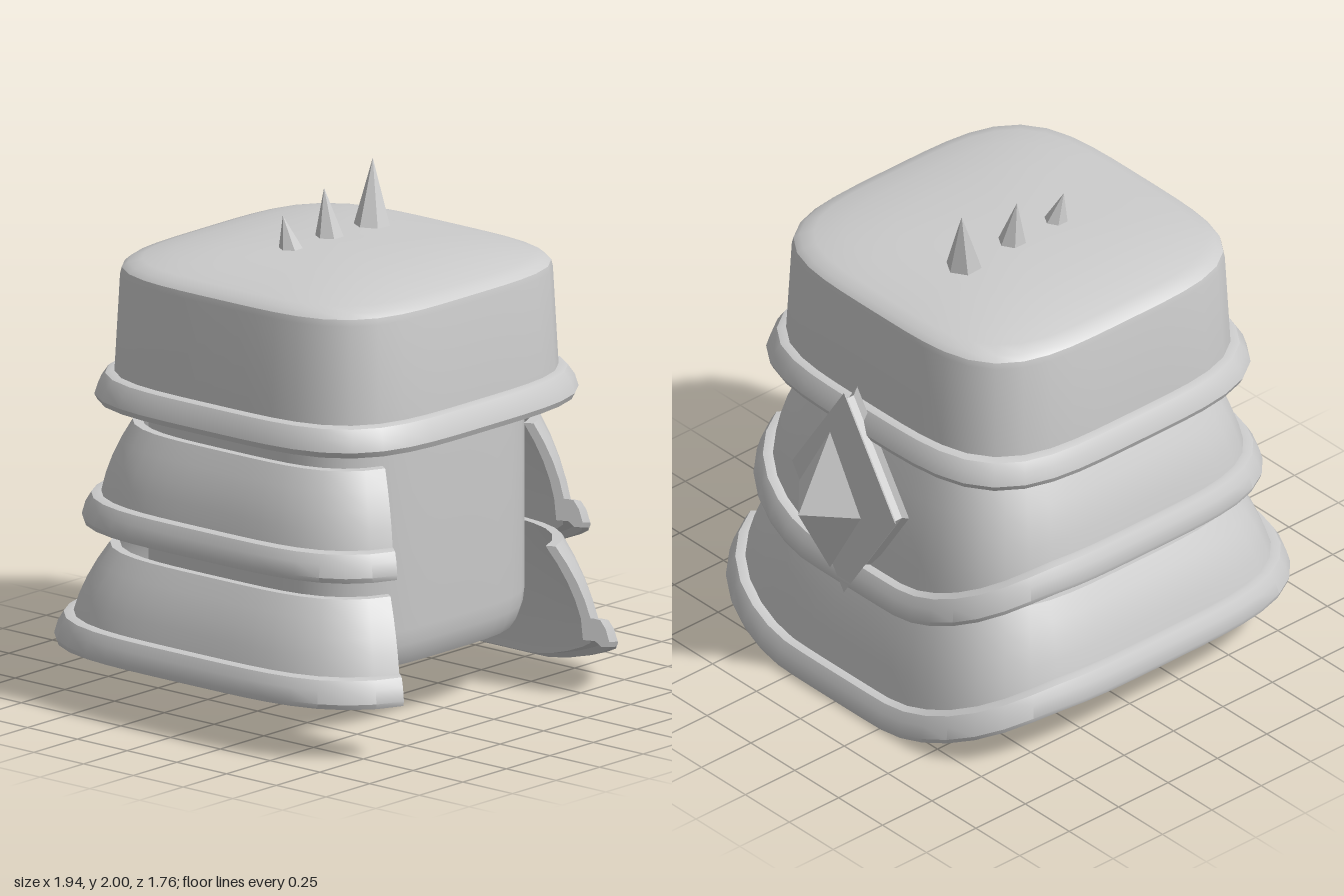
import * as THREE from 'three';
import { toCreasedNormals } from 'three/addons/utils/BufferGeometryUtils.js';

// Double sided because the cap is a thin open shell
const metal = new THREE.MeshStandardMaterial({ color: 0xcccccc, side: THREE.DoubleSide });
metal.name = 'lightGrey';

function mesh(name, geometry, crease = 0.6) {
  const m = new THREE.Mesh(toCreasedNormals(geometry, crease), metal);
  m.name = name;
  return m;
}

function fromTriangles(points, index) {
  const g = new THREE.BufferGeometry();
  g.setAttribute('position', new THREE.Float32BufferAttribute(points, 3));
  g.setIndex(index);
  return g;
}

// Sweeps a [halfWidth, y] profile (outer side upward) round a rounded square.
// A closed profile joins its last point to its first; capEnds fills an open sweep's ends.
function squareSweep(profile, { start = 0, end = Math.PI * 2, closed = false, capEnds = false, drop = () => 0 } = {}) {
  const pts = [], idx = [], n = profile.length, steps = 48;
  for (let j = 0; j <= steps; j++) {
    const a = start + (end - start) * j / steps;
    const c = Math.cos(a), s = Math.sin(a);
    const k = 1 / Math.pow(c ** 4 + s ** 4, 0.25);
    for (const [r, y] of profile) pts.push(r * k * c, y - drop(a, y), r * k * s);
  }
  const rows = closed ? n : n - 1;
  for (let j = 0; j < steps; j++) {
    for (let i = 0; i < rows; i++) {
      const a = j * n + i, b = j * n + (i + 1) % n;
      idx.push(a, b, b + n, a, b + n, a + n);
    }
  }
  if (capEnds) {
    const outline = profile.map(([r, y]) => new THREE.Vector2(r, y));
    const last = steps * n;
    for (const [a, b, c] of THREE.ShapeUtils.triangulateShape(outline, [])) {
      idx.push(a, c, b, last + a, last + b, last + c);
    }
  }
  return fromTriangles(pts, idx);
}

// Thin curved armour skirt with a rolled hem, open at the front; the hem hangs lower on the +x side
function skirt(name, top, hem, topHalf, hemHalf) {
  const rimTop = hem + 0.11, h = top - rimTop, thick = 0.032;
  const curve = [0, 0.25, 0.5, 0.75, 1].map((t) => [
    topHalf + (hemHalf - topHalf) * t + 0.055 * t * (1 - t), top - h * t,
  ]);
  const profile = [
    // Rolled hem
    [hemHalf + 0.035, hem], [hemHalf + 0.056, hem], [hemHalf + 0.062, hem + 0.02],
    [hemHalf + 0.05, hem + 0.07], [hemHalf + 0.032, rimTop - 0.005], [hemHalf + 0.012, rimTop],
    // Outer face up, inner face down
    ...[...curve].reverse(),
    ...curve.map(([r, y]) => [r - thick, y]),
    [hemHalf - 0.025, hem + 0.025], [hemHalf + 0.015, hem + 0.022],
  ];
  const drop = (angle, y) => {
    const off = Math.abs(Math.atan2(Math.sin(angle), Math.cos(angle))) * 180 / Math.PI;
    const side = 1 - THREE.MathUtils.smoothstep(off, 17, 62);
    return 0.21 * side * Math.min(1, (top - y) / h);
  };
  const gap = 34.6 * Math.PI / 180;
  return mesh(name, squareSweep(profile, {
    start: Math.PI / 2 + gap, end: Math.PI * 2.5 - gap, closed: true, capEnds: true, drop,
  }));
}

// Stack of diamond outlines along x, closed at both ends
function diamondStack(sections, halfY, halfZ) {
  const pts = [], idx = [];
  for (const [x, s] of sections) {
    pts.push(x, halfY * s, 0, x, 0, halfZ * s, x, -halfY * s, 0, x, 0, -halfZ * s);
  }
  const last = (sections.length - 1) * 4;
  for (let j = 0; j < last; j += 4) {
    for (let i = 0; i < 4; i++) {
      const a = j + i, b = j + (i + 1) % 4;
      idx.push(a, b, b + 4, a, b + 4, a + 4);
    }
  }
  idx.push(0, 2, 1, 0, 3, 2, last, last + 1, last + 2, last, last + 2, last + 3);
  return fromTriangles(pts, idx);
}

export function createModel() {
  const model = new THREE.Group();
  model.name = 'armouredTower';

  const core = new THREE.Group();
  core.name = 'core';
  core.position.set(-0.07, 0, 0.02);
  model.add(core);

  // Hollow body column, open below, with a rounded foot
  core.add(mesh('body', squareSweep([
    [0.565, 1.3], [0.565, 0.36], [0.55, 0.27], [0.545, 0.25],
    [0.56, 0.255], [0.58, 0.29], [0.594, 0.34], [0.6, 0.4], [0.6, 1.3],
  ], { closed: true })));

  // Cap shell with a shallow domed top, and the rolled brim round its lower edge
  core.add(mesh('cap', squareSweep([
    [0.712, 1.2], [0.708, 1.27], [0.69, 1.65], [0.685, 1.675], [0.665, 1.694],
    [0.62, 1.708], [0.52, 1.729], [0.36, 1.748], [0.18, 1.756], [0, 1.758],
  ], {})));
  core.add(mesh('brim', squareSweep([
    [0.69, 1.185], [0.725, 1.175], [0.742, 1.155], [0.762, 1.157], [0.772, 1.18],
    [0.76, 1.225], [0.738, 1.262], [0.72, 1.268], [0.69, 1.268],
  ], { closed: true })));

  // Two layered skirts
  core.add(skirt('upperSkirt', 1.07, 0.68, 0.65, 0.75));
  core.add(skirt('lowerSkirt', 0.59, 0.213, 0.722, 0.838));

  // Leaning spikes: base x, radius, tip height, lean
  const spikes = [[-0.237, 0.052, 1.88, -0.018], [-0.018, 0.06, 1.94, 0], [0.222, 0.073, 2, 0.04]];
  for (const [x, r, tip, lean] of spikes) {
    const h = tip - 1.74;
    const g = new THREE.ConeGeometry(r, h, 6);
    g.rotateY(Math.PI / 6);
    g.translate(0, h / 2, 0);
    g.applyMatrix4(new THREE.Matrix4().set(1, lean / h, 0, x, 0, 1, 0, 1.74, 0, -0.03 / h, 1, -0.058, 0, 0, 0, 1));
    model.add(mesh('spike', g, 0.05));
  }

  // Side emblem: grooved diamond plate with a floating crystal
  const emblem = new THREE.Group();
  emblem.name = 'sideEmblem';
  emblem.position.set(0, 0.892, 0.045);
  emblem.add(mesh('diamondPlate', diamondStack(
    [[0.672, 1], [0.69, 0.93], [0.722, 0.93], [0.74, 1]], 0.453, 0.295), 0.05));
  emblem.add(mesh('crystal', diamondStack(
    [[0.76, 0.001], [0.81, 1], [0.97, 0.001]], 0.308, 0.175), 0.05));
  model.add(emblem);

  return model;
}
